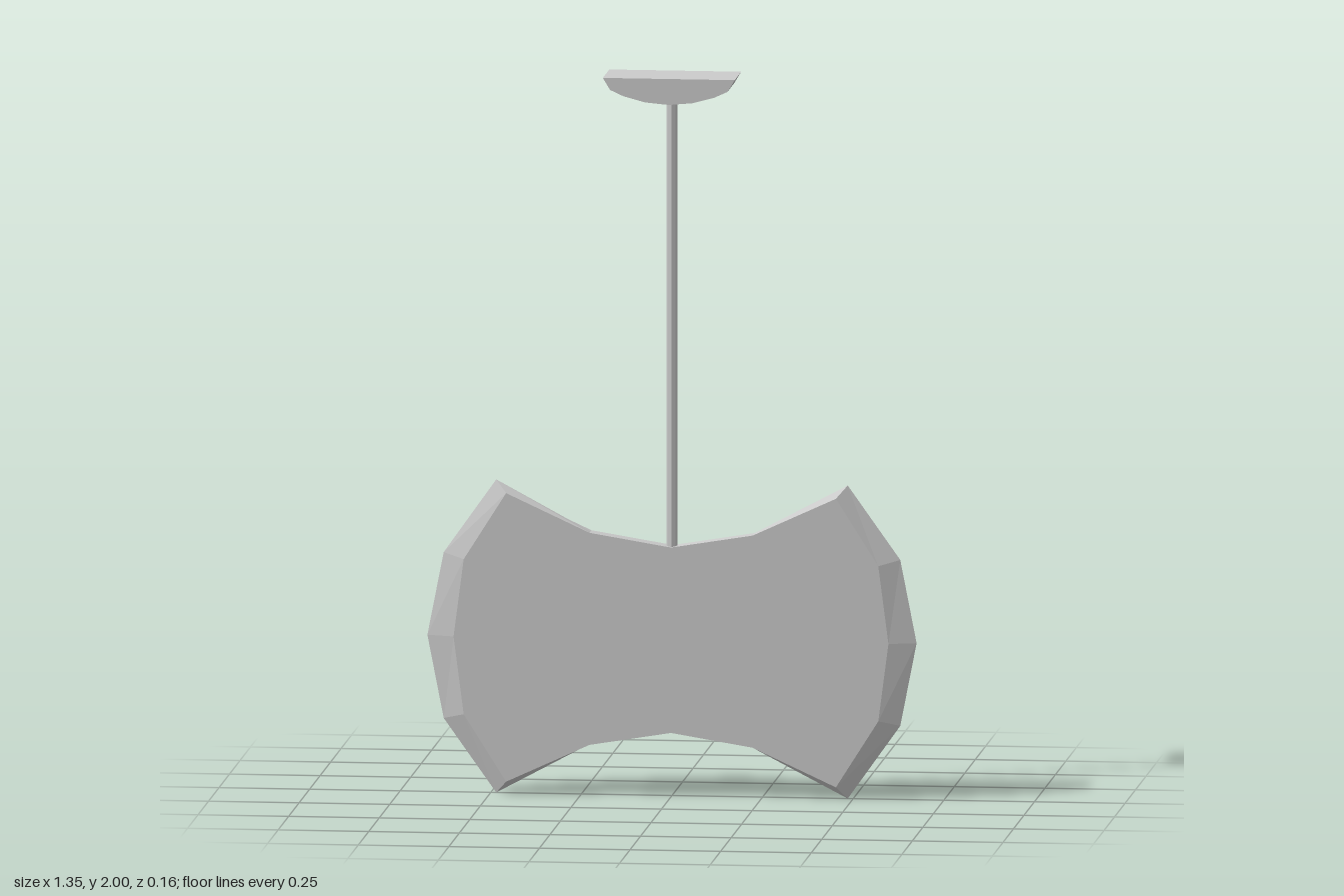
import * as THREE from 'three';

const material = new THREE.MeshStandardMaterial({ color: 0xcccccc, flatShading: true });

function part(name, geometry, parent) {
  const mesh = new THREE.Mesh(geometry, material);
  mesh.name = name;
  parent.add(mesh);
  return mesh;
}

// Mirrors a lower-right quarter outline into a full counter-clockwise ring
function ring(quarter) {
  const right = [...quarter, ...quarter.slice(0, -1).reverse().map(([x, y]) => [x, -y])];
  const left = right.slice(1, -1).reverse().map(([x, y]) => [-x, y]);
  return [...right, ...left];
}

// Flat double blade: sharp rim at z = 0, bevelled to two flat faces
function bladeGeometry(half) {
  const rim = ring([[0, -0.257], [0.225, -0.294], [0.485, -0.434], [0.63, -0.23], [0.675, 0]]);
  const face = ring([[0, -0.257], [0.225, -0.294], [0.455, -0.4], [0.572, -0.215], [0.6, 0]]);
  const n = rim.length;
  const positions = [];
  for (const [loop, z] of [[face, half], [rim, 0], [face, -half]]) {
    for (const [x, y] of loop) positions.push(x, y, z);
  }
  const index = [];
  const contour = face.map(([x, y]) => new THREE.Vector2(x, y));
  for (const [a, b, c] of THREE.ShapeUtils.triangulateShape(contour, [])) {
    index.push(a, b, c, 2 * n + a, 2 * n + c, 2 * n + b);
  }
  for (let i = 0; i < n; i++) {
    const j = (i + 1) % n;
    for (const k of [0, n]) {
      index.push(k + i, k + n + i, k + n + j, k + i, k + n + j, k + j);
    }
  }
  const geometry = new THREE.BufferGeometry();
  geometry.setAttribute('position', new THREE.Float32BufferAttribute(positions, 3));
  geometry.setIndex(index);
  const flat = geometry.toNonIndexed();
  flat.computeVertexNormals();
  return flat;
}

// Slice of the pommel: a mirrored lower profile closed by the flat top
function pommelSlice(profile, z0, z1) {
  const left = profile.slice().reverse().filter(([x]) => x > 0).map(([x, y]) => [-x, y]);
  const shape = new THREE.Shape([...left, ...profile].map(([x, y]) => new THREE.Vector2(x, y)));
  const geometry = new THREE.ExtrudeGeometry(shape, { depth: z1 - z0, bevelEnabled: false });
  return geometry.translate(0, 0, z0);
}

export function createModel() {
  const model = new THREE.Group();
  model.name = 'doubleAxe';

  const blade = part('blade', bladeGeometry(0.024), model);
  blade.position.y = 0.436;

  // Slim shaft from the blade up into the pommel
  const bottom = 0.67, top = 1.97;
  const shaft = part('shaft', new THREE.CylinderGeometry(0.015, 0.015, top - bottom, 8), model);
  shaft.position.y = (top + bottom) / 2;

  // Curved pommel with a slot running along its underside
  const pommel = new THREE.Group();
  pommel.name = 'pommel';
  model.add(pommel);
  const curve = [[0, 1.928], [0.065, 1.934], [0.125, 1.95], [0.162, 1.967], [0.182, 2]];
  const slotCeiling = curve.slice(-2);
  part('pommelFront', pommelSlice(curve, 0.02, 0.078), pommel);
  part('pommelBack', pommelSlice(curve, -0.078, -0.02), pommel);
  part('pommelBridge', pommelSlice(slotCeiling, -0.02, 0.02), pommel);

  return model;
}
